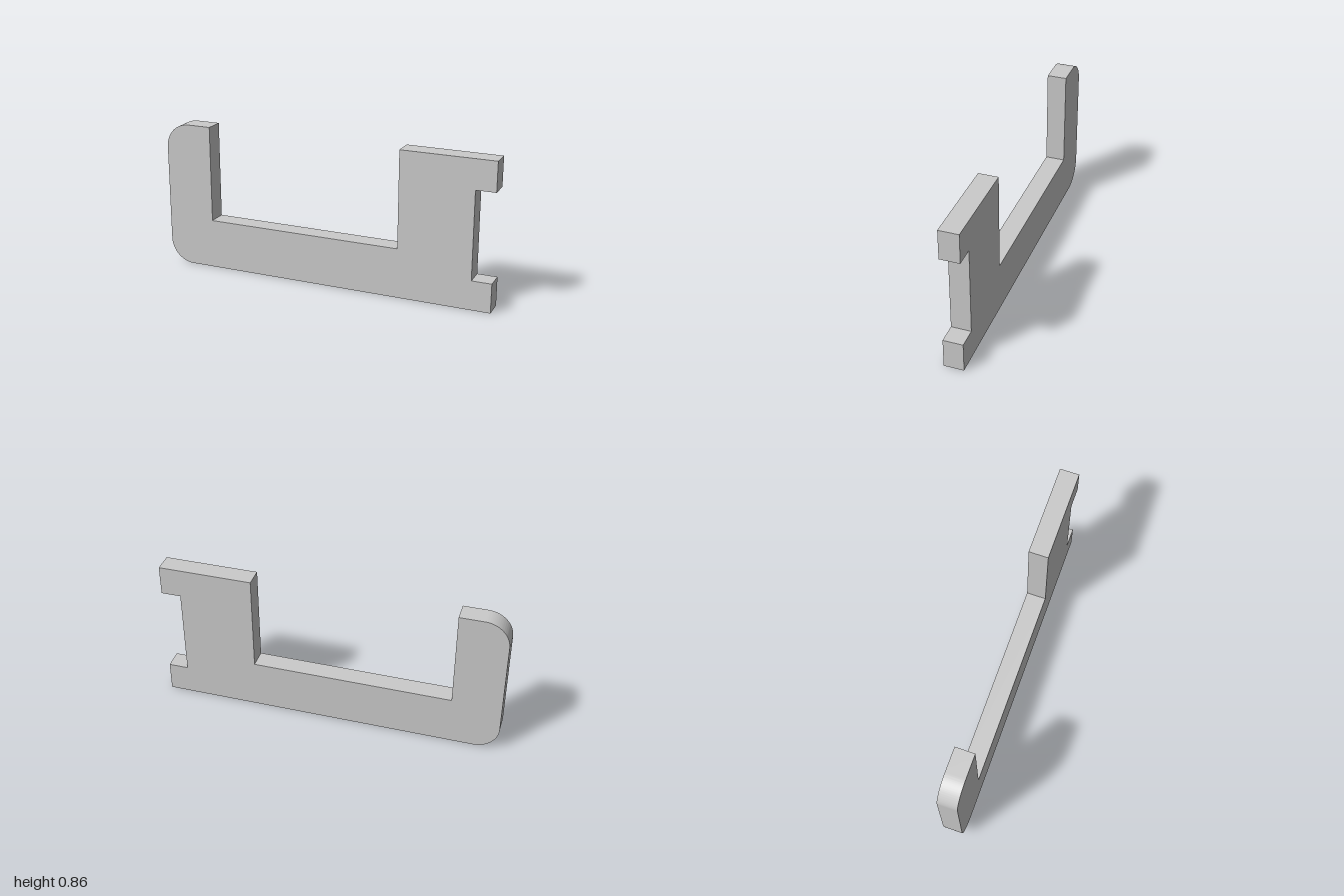
import * as THREE from 'three';
import { toCreasedNormals } from 'three/addons/utils/BufferGeometryUtils.js';

export function createModel() {
  const height = 0.864, depth = 0.114, radius = 0.144;

  // Outline of the flat bracket, counter-clockwise from the lower left corner
  const outline = new THREE.Shape();
  outline.moveTo(-1 + radius, 0);
  const corners = [
    [1, 0], [1, 0.173], [0.885, 0.173],            // lower lip of the side notch
    [0.885, 0.691], [1, 0.691], [1, height],       // upper lip
    [0.454, height], [0.454, 0.293],               // wide upright
    [-0.715, 0.293], [-0.715, height],             // wide opening and narrow upright
    [-1 + radius, height],
  ];
  for (const [x, y] of corners) outline.lineTo(x, y);

  // Rounded outer corners of the narrow upright
  outline.absarc(-1 + radius, height - radius, radius, Math.PI / 2, Math.PI, false);
  outline.absarc(-1 + radius, radius, radius, Math.PI, Math.PI * 1.5, false);

  const extruded = new THREE.ExtrudeGeometry(outline, { depth, bevelEnabled: false, curveSegments: 24 });
  extruded.translate(0, 0, -depth / 2);

  const bracket = new THREE.Mesh(
    toCreasedNormals(extruded, Math.PI / 6),
    new THREE.MeshStandardMaterial({ color: 0xcccccc })
  );
  bracket.name = 'bracketPlate';

  const model = new THREE.Group();
  model.name = 'bracket';
  model.add(bracket);
  return model;
}
